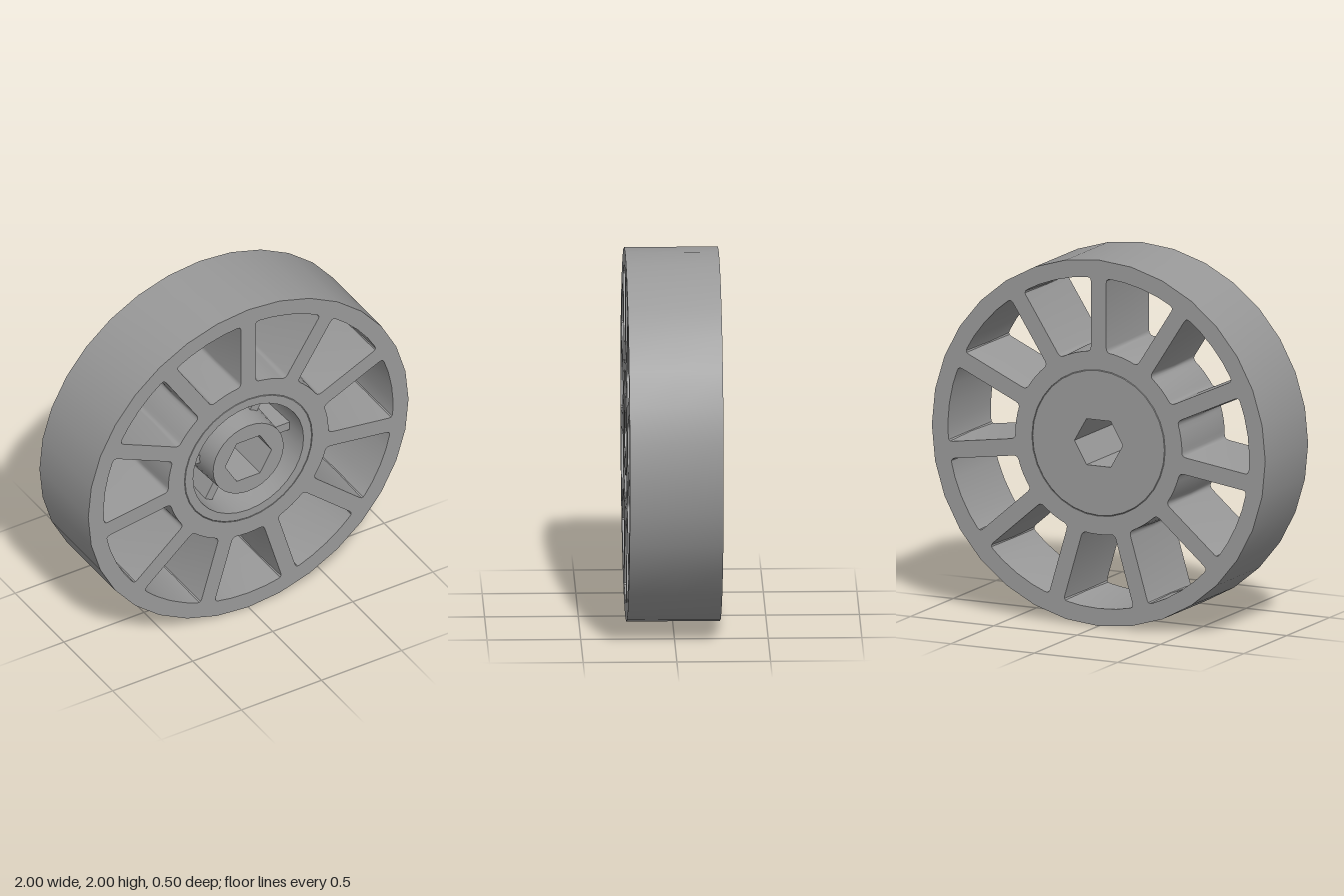
import * as THREE from 'three';
import { toCreasedNormals } from 'three/addons/utils/BufferGeometryUtils.js';

const WIDTH = 0.5, SPOKES = 11, SPOKE_HALF = 0.046, HUB = 0.4;
const material = new THREE.MeshStandardMaterial({ color: 0x999999 });

// Points of a regular polygon, first corner on +x
function ring(radius, sides) {
  return Array.from({ length: sides }, (_, i) => {
    const a = (i / sides) * Math.PI * 2;
    return new THREE.Vector2(radius * Math.cos(a), radius * Math.sin(a));
  });
}

// Rounded window between two spokes, centred on the given angle
function spokeWindow(angle) {
  const inner = 0.5, outer = 0.904, round = 0.025;
  const arc = (r, dir) => {
    const half = Math.PI / SPOKES - Math.asin(SPOKE_HALF / r);
    return [-1, -0.5, 0, 0.5, 1].map((t) => {
      const a = angle + dir * t * half;
      return new THREE.Vector2(r * Math.cos(a), r * Math.sin(a));
    });
  };
  const pts = [...arc(outer, 1), ...arc(inner, -1)];
  const corners = new Set([0, 4, 5, 9]);
  const path = new THREE.Path();
  const toward = (p, q) => p.clone().add(q.clone().sub(p).setLength(round));
  pts.forEach((p, i) => {
    if (!corners.has(i)) { path.lineTo(p.x, p.y); return; }
    const a = toward(p, pts[(i + 9) % 10]);
    const b = toward(p, pts[(i + 1) % 10]);
    if (i === 0) path.moveTo(a.x, a.y); else path.lineTo(a.x, a.y);
    path.quadraticCurveTo(p.x, p.y, b.x, b.y);
  });
  path.closePath();
  return path;
}

// Spoked disc whose windows narrow slightly towards the middle plane
function spokedDisc(shape) {
  const land = 0.01;
  const g = new THREE.ExtrudeGeometry(shape, {
    depth: land, curveSegments: 3, bevelEnabled: true,
    bevelThickness: (WIDTH - land) / 2, bevelSize: 0.008, bevelSegments: 1,
  });
  g.translate(0, 0, -land / 2);
  // Keep the tread and the hub seat straight
  const pos = g.attributes.position;
  for (let i = 0; i < pos.count; i++) {
    const p = new THREE.Vector2(pos.getX(i), pos.getY(i));
    if (p.length() > 0.95) p.setLength(1);
    else if (p.length() < 0.45) p.setLength(HUB);
    pos.setXY(i, p.x, p.y);
  }
  return toCreasedNormals(g, 0.6);
}

export function createModel() {
  const group = new THREE.Group();
  const add = (name, geometry) => {
    const mesh = new THREE.Mesh(geometry, material);
    mesh.name = name;
    mesh.position.y = 1;
    group.add(mesh);
  };

  // Rim, spokes and hub ring in one piece
  const wheel = new THREE.Shape(ring(1, 32));
  wheel.holes.push(new THREE.Path(ring(HUB, 32)));
  for (let i = 0; i < SPOKES; i++) {
    wheel.holes.push(spokeWindow(Math.PI / 2 + ((i + 0.5) / SPOKES) * Math.PI * 2));
  }
  add('spokedWheel', spokedDisc(wheel));

  // Hub insert: fine seam groove, flat back, hollow front, filleted floor, tapered boss wall
  const profile = [
    [0.215, -0.25], [HUB - 0.005, -0.25], [HUB, -0.245], [HUB, 0.245], [HUB - 0.005, 0.25],
    [0.345, 0.25], [0.33, -0.1], [0.32, -0.14], [0.295, -0.17],
    [0.27, -0.17], [0.245, -0.15], [0.235, -0.11], [0.22, 0.25],
  ].map(([r, z]) => new THREE.Vector2(r, z));
  const cup = new THREE.LatheGeometry(profile, 32);
  cup.rotateX(Math.PI / 2);
  add('hubCup', toCreasedNormals(cup, 0.6));

  // Central boss with a hexagonal bore
  const boss = new THREE.Shape(ring(0.22, 32));
  boss.holes.push(new THREE.Path(ring(0.145, 6)));
  const bore = new THREE.ExtrudeGeometry(boss, { depth: WIDTH, bevelEnabled: false });
  bore.translate(0, 0, -WIDTH / 2);
  add('hexBoss', toCreasedNormals(bore, 0.6));

  // Six stiffening ribs between boss and cup wall
  for (let i = 0; i < 6; i++) {
    const rib = new THREE.BoxGeometry(0.125, 0.05, 0.3);
    rib.translate(0.275, 0, -0.03);
    rib.rotateZ((i * Math.PI) / 3);
    add('hubRib', rib);
  }
  return group;
}
